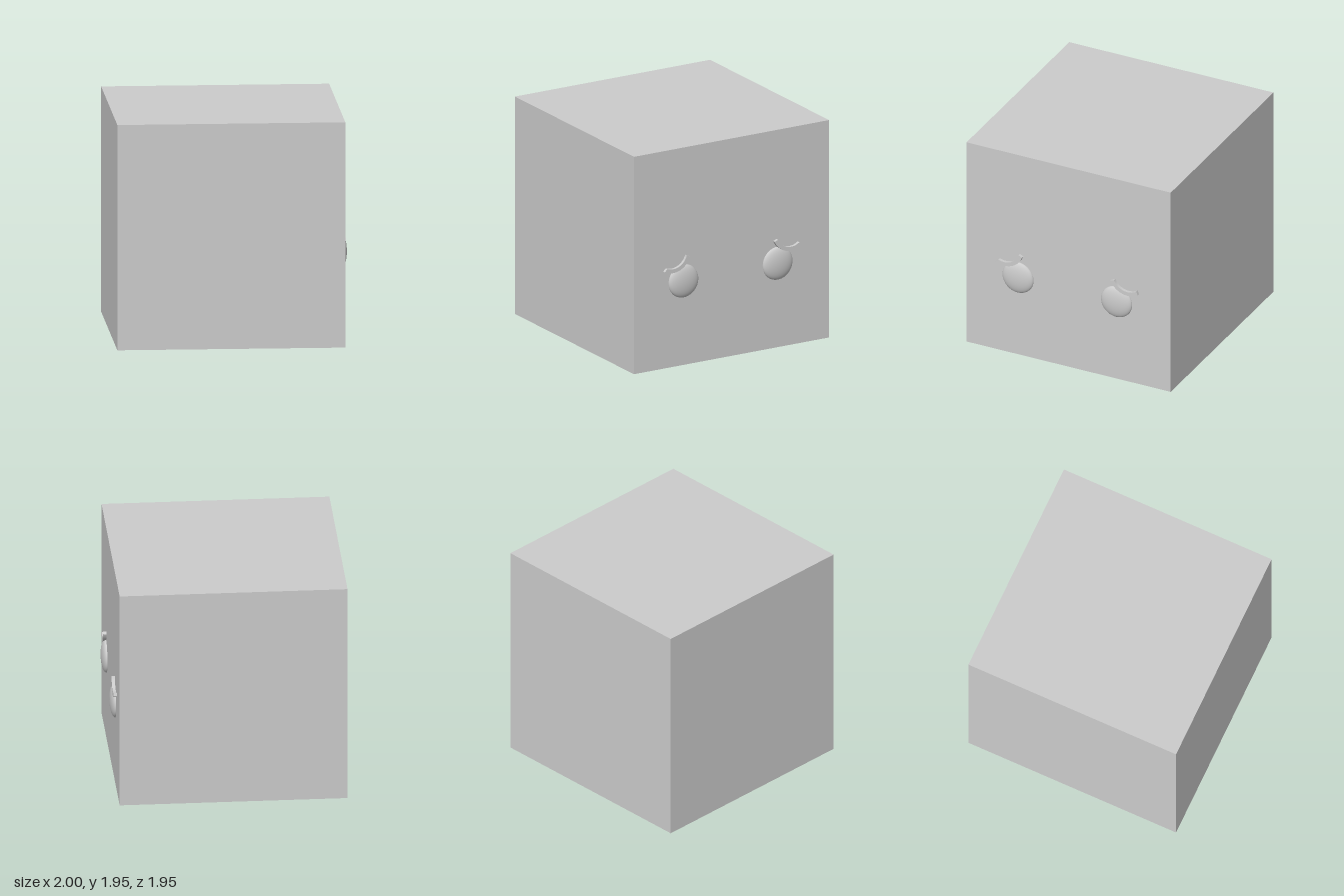
import * as THREE from 'three';

const FACE_X = 0.953; // the side that carries the eyes
const SIZE = 1.954;

export function createModel() {
  const group = new THREE.Group();
  const material = new THREE.MeshStandardMaterial({ color: 0xcccccc });

  const add = (name, geometry, x, y, z) => {
    const mesh = new THREE.Mesh(geometry, material);
    mesh.name = name;
    mesh.position.set(x, y, z);
    group.add(mesh);
    return mesh;
  };

  // Cube body
  add('body', new THREE.BoxGeometry(SIZE, SIZE, SIZE), FACE_X - SIZE / 2, SIZE / 2, 0);

  // Eyes: flattened spheres half sunk into the side
  const eye = new THREE.SphereGeometry(0.148, 48, 32);
  for (const [name, z] of [['leftEye', -0.46], ['rightEye', 0.483]]) {
    add(name, eye, FACE_X, 0.756, z).scale.x = 0.047 / 0.148;
  }

  // Brows: extruded arc bands, with slightly slanted ends (angles in degrees)
  const rad = THREE.MathUtils.degToRad;
  const brow = (name, y, z, outer, inner) => {
    const shape = new THREE.Shape();
    shape.absarc(0, 0, 0.178, rad(outer[0]), rad(outer[1]), false);
    shape.absarc(0, 0, 0.143, rad(inner[1]), rad(inner[0]), true);
    const geometry = new THREE.ExtrudeGeometry(shape, {
      depth: 0.028, bevelEnabled: false, curveSegments: 16,
    });
    geometry.rotateY(Math.PI / 2);
    add(name, geometry, FACE_X, y, z);
  };
  brow('rightBrow', 1.03, 0.602, [-118, -18.6], [-113, -17]);
  brow('leftBrow', 1.033, -0.578, [-156.2, -57.5], [-156, -54.4]);

  return group;
}
